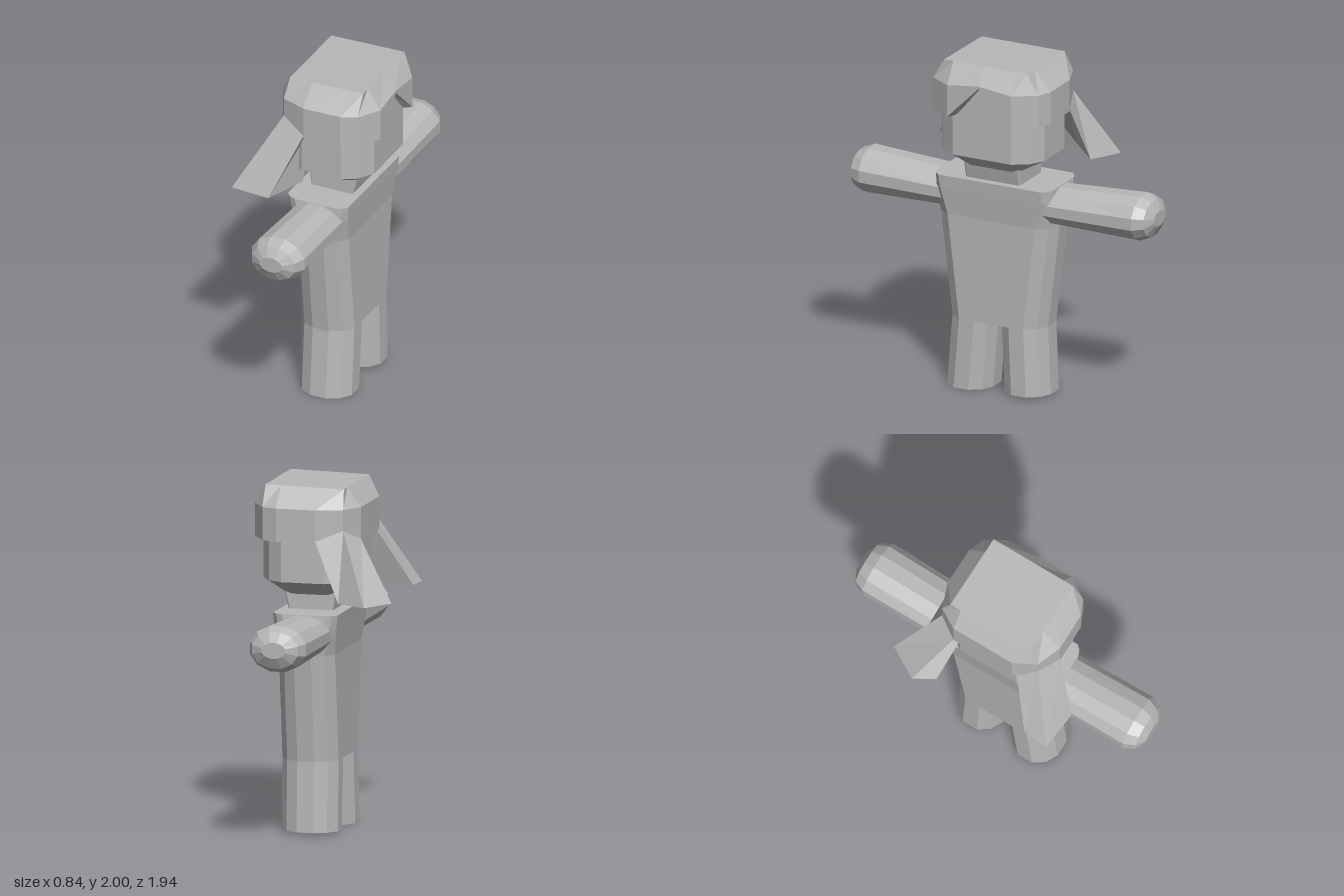
import * as THREE from 'three';

const grey = new THREE.MeshStandardMaterial({ color: 0xb8b8b8 });
grey.name = 'plain grey';
grey.flatShading = true;

// Skin a stack of closed rings, with both ends capped
function loft(name, rings) {
  const pos = [];
  const tri = (...pts) => pts.forEach((p) => pos.push(...p));
  const n = rings[0].length;
  const centre = (r) => [0, 1, 2].map((k) => r.reduce((s, p) => s + p[k], 0) / n);
  const first = rings[0], last = rings[rings.length - 1];
  const c0 = centre(first), c1 = centre(last);
  for (let i = 0; i < n; i++) {
    const j = (i + 1) % n;
    for (let r = 0; r + 1 < rings.length; r++) {
      const a = rings[r], b = rings[r + 1];
      tri(a[i], a[j], b[j], a[i], b[j], b[i]);
    }
    tri(c0, first[j], first[i]);
    tri(c1, last[i], last[j]);
  }
  const g = new THREE.BufferGeometry();
  g.setAttribute('position', new THREE.Float32BufferAttribute(pos, 3));
  g.computeVertexNormals();
  const mesh = new THREE.Mesh(g, grey);
  mesh.name = name;
  return mesh;
}

// Horizontal rectangle with two-step bevelled corners: dx, dz are corner insets
function slab(y, x0, x1, z0, z1, dx, dz) {
  const mx = dx * 0.4, mz = dz * 0.35;
  return [
    [x1, y, z0 + dz], [x1 - mx, y, z0 + mz], [x1 - dx, y, z0],
    [x0 + dx, y, z0], [x0 + mx, y, z0 + mz], [x0, y, z0 + dz],
    [x0, y, z1 - dz], [x0 + mx, y, z1 - mz], [x0 + dx, y, z1],
    [x1 - dx, y, z1], [x1 - mx, y, z1 - mz], [x1, y, z1 - dz],
  ];
}

// Twelve-sided ring in the plane across an arm
function armRing(z, cy, rx, ry) {
  return Array.from({ length: 12 }, (_, i) => {
    const a = ((i + 0.5) / 12) * Math.PI * 2, k = 1 / Math.cos(Math.PI / 12);
    return [0.095 + rx * k * Math.cos(a), cy + ry * k * Math.sin(a), z];
  });
}

function arm(name, side) {
  const rings = [
    [0.25, 1.155, 0.155, 0.11],
    [0.4, 1.158, 0.16, 0.115],
    [0.87, 1.168, 0.165, 0.132],
    [0.935, 1.17, 0.135, 0.105],
    [0.968, 1.172, 0.07, 0.045],
  ].map(([z, ...r]) => armRing(z * side, ...r));
  return loft(name, side > 0 ? rings : rings.reverse());
}

function leg(name, footY, footZ, hipZ) {
  const ring = (y, z) => slab(y, -0.07, 0.26, z - 0.147, z + 0.147, 0.115, 0.1);
  return loft(name, [ring(footY, footZ), ring(0.425, hipZ)]);
}

// Outline of the hair cap seen from above, from the middle of the brow round to it again
const capOutline = [
  [0.42, 0.02], [0.42, -0.19], [0.34, -0.32], [0.25, -0.355], [0.02, -0.355], [-0.13, -0.3], [-0.2, -0.18],
  [-0.2, 0.21], [-0.13, 0.34], [0.02, 0.395], [0.25, 0.39], [0.34, 0.35], [0.42, 0.22],
];

function hairCap() {
  // The lower edge rises to a peak over the brow
  const low = (i) => (i === 0 ? 1.89 : 1.69);
  const clamp = THREE.MathUtils.clamp;
  const inner = capOutline.map(([x, z], i) => [0.11 + (x - 0.11) * 0.82, low(i), 0.02 + (z - 0.02) * 0.82]);
  const edge = capOutline.map(([x, z], i) => [x, low(i), z]);
  const brow = capOutline.map(([x, z], i) => [x, i === 0 ? 1.905 : 1.88, z]);
  const crown = capOutline.map(([x, z]) => {
    const cx = clamp(x, -0.12, 0.34);
    return [cx, 1.99 + 0.01 * (cx + 0.12) / 0.46, clamp(z, -0.25, 0.28)];
  });
  return loft('hairCap', [inner, edge, brow, crown]);
}

export function createModel() {
  const model = new THREE.Group();
  model.name = 'figure';

  // Legs and torso, flaring at the shoulders
  model.add(leg('leftLeg', 0, 0.215, 0.18));
  model.add(leg('rightLeg', 0.015, -0.152, -0.135));
  model.add(loft('torso', [
    slab(0.42, -0.07, 0.26, -0.282, 0.327, 0.115, 0.1),
    slab(1.04, -0.07, 0.26, -0.357, 0.4, 0.115, 0.1),
    slab(1.2, -0.09, 0.275, -0.36, 0.4, 0.08, 0.06),
    slab(1.275, -0.1, 0.28, -0.35, 0.39, 0.06, 0.04),
  ]));

  // Crotch wedge between the legs, standing just off the torso on both sides
  for (const side of [1, -1]) {
    const s = new THREE.Shape([
      new THREE.Vector2(-0.11, 0.42), new THREE.Vector2(0.11, 0.42), new THREE.Vector2(0, 0.54),
    ]);
    const wedge = new THREE.Mesh(new THREE.ShapeGeometry(s), grey);
    wedge.name = 'crotchWedge';
    wedge.rotation.y = side * Math.PI / 2;
    wedge.position.set(0.095 + side * 0.167, 0, 0.02);
    model.add(wedge);
  }

  model.add(arm('leftArm', 1), arm('rightArm', -1));

  // Neck and head
  model.add(loft('neck', [
    slab(1.25, -0.025, 0.23, -0.15, 0.2, 0.01, 0.01),
    slab(1.4, -0.045, 0.265, -0.15, 0.2, 0.01, 0.01),
  ]));
  model.add(loft('head', [
    slab(1.36, -0.04, 0.26, -0.15, 0.2, 0.05, 0.05),
    slab(1.45, -0.155, 0.375, -0.305, 0.35, 0.14, 0.14),
    slab(1.7, -0.155, 0.375, -0.305, 0.35, 0.14, 0.14),
    slab(1.91, -0.14, 0.375, -0.28, 0.32, 0.14, 0.14),
  ]));

  // Hair: cap with a peaked fringe and two swept-back bunches
  model.add(hairCap());
  model.add(loft('leftBunch', [
    [[-0.03, 1.345, 0.3], [-0.35, 1.345, 0.39], [-0.36, 1.345, 0.54], [-0.12, 1.345, 0.56]],
    [[0.01, 1.7, 0.25], [-0.17, 1.7, 0.22], [-0.13, 1.77, 0.34], [0.02, 1.7, 0.395]],
  ]));
  model.add(loft('rightBunch', [
    [[-0.13, 1.36, -0.41], [-0.31, 1.36, -0.51], [-0.42, 1.36, -0.32], [-0.35, 1.36, -0.2]],
    [[0.02, 1.7, -0.355], [-0.13, 1.76, -0.3], [-0.2, 1.7, -0.18], [-0.05, 1.7, -0.15]],
  ]));
  return model;
}
